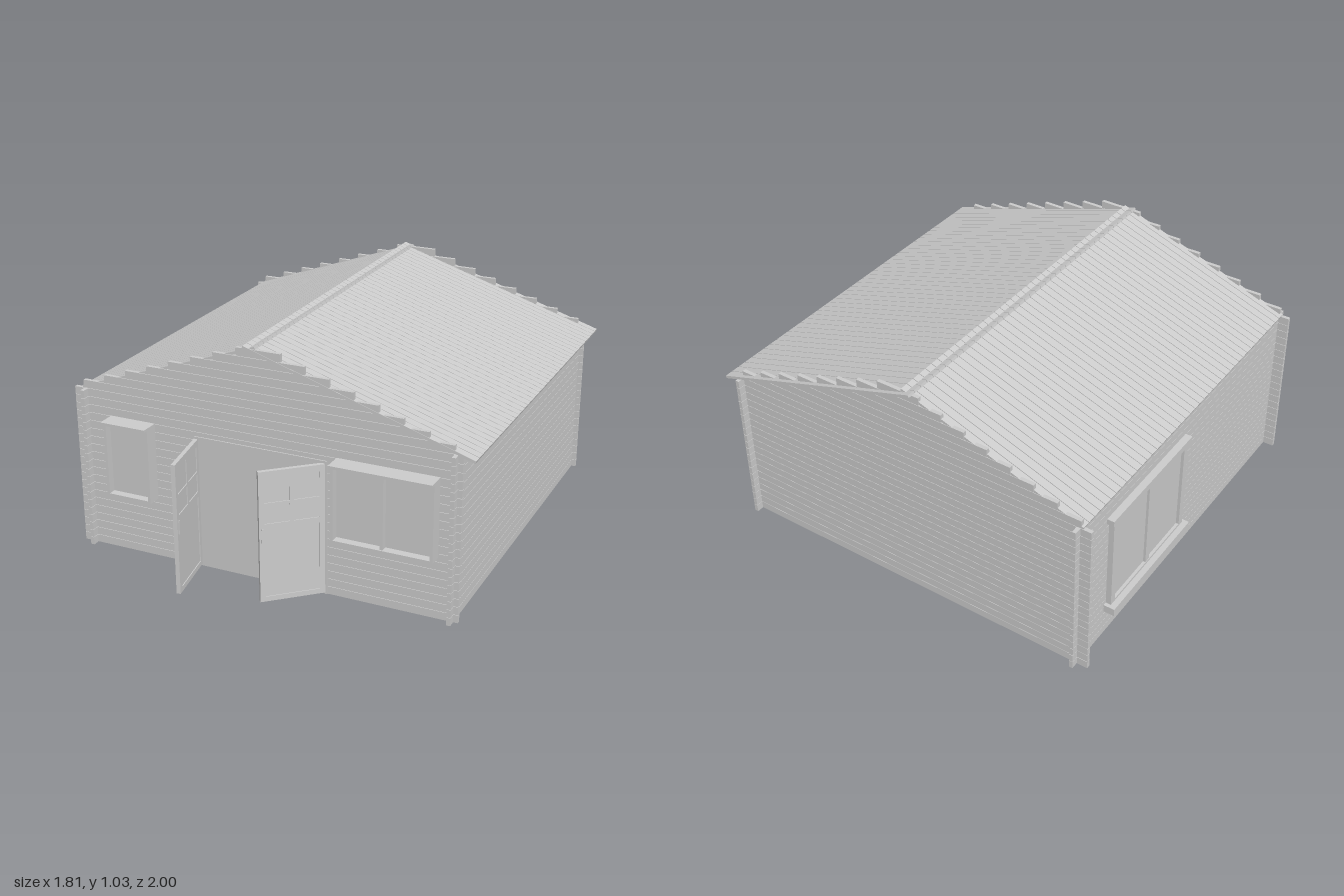
import * as THREE from 'three';

const grey = new THREE.MeshStandardMaterial({ color: 0xcccccc, flatShading: true });

const ROW = 0.0365, ROWS = 20, GAP = 0.002, THICK = 0.017;
const FRONT = 0.715, BACK = -0.957, LEFT = 0.827, RIGHT = -0.848;

// Box given by its limits on each axis
function box(parent, name, x0, x1, y0, y1, z0, z1) {
  const mesh = new THREE.Mesh(new THREE.BoxGeometry(x1 - x0, y1 - y0, z1 - z0), grey);
  mesh.position.set((x0 + x1) / 2, (y0 + y1) / 2, (z0 + z1) / 2);
  mesh.name = name;
  parent.add(mesh);
  return mesh;
}

function group(parent, name) {
  const g = new THREE.Group();
  g.name = name;
  parent.add(g);
  return g;
}

// Stacked logs of the end walls, with a stepped gable on top
function endWall(parent, name, z) {
  const wall = group(parent, name);
  const h = THICK / 2;
  for (let i = 0; i < ROWS; i++)
    box(wall, 'wallLog', -0.905, 0.855, i * ROW, (i + 1) * ROW - GAP, z - h, z + h);
  for (let i = 0; i < 8; i++) {
    const half = 0.84 - i * 0.1057, y = (ROWS + i) * ROW;
    box(wall, 'gableLog', -0.02 - half, -0.02 + half, y, y + ROW - GAP, z - h, z + h);
  }
}

// Stacked logs of the long walls, crossing the end walls at the corners
function sideWall(parent, name, x) {
  const wall = group(parent, name);
  for (let i = 0; i < ROWS; i++)
    box(wall, 'wallLog', x - THICK / 2, x + THICK / 2, i * ROW, (i + 1) * ROW - GAP, -0.998, 0.757);
}

// One roof slope: boards running from ridge to eave, side by side along z
function roofSlope(parent, name, xA, yA, xB, yB, z0, z1) {
  const roof = group(parent, name);
  const count = 43, pitch = (z1 - z0) / count, t = 0.012;
  const length = Math.hypot(xB - xA, yB - yA);
  const geometry = new THREE.BoxGeometry(length, t, pitch - 0.003);
  for (let i = 0; i < count; i++) {
    const board = new THREE.Mesh(geometry, grey);
    board.name = 'roofBoard';
    board.position.set((xA + xB) / 2, (yA + yB) / 2 - t / 2, z0 + (i + 0.5) * pitch);
    board.rotation.z = Math.atan2(yB - yA, xB - xA);
    roof.add(board);
  }
}

// Framed window in local space: x across, z outwards from the wall
function windowUnit(parent, name, w, y0, y1, depth, panes, border) {
  const g = group(parent, name), h = w / 2;
  box(g, 'pane', -h + border, h - border, y0 + border, y1 - border, 0, depth * 0.45);
  for (const s of [-1, 1])
    box(g, 'frameSide', s * (h - border / 2) - border / 2, s * (h - border / 2) + border / 2, y0, y1, 0, depth);
  box(g, 'frameTop', -h + border, h - border, y1 - border, y1, 0, depth);
  box(g, 'frameBottom', -h + border, h - border, y0, y0 + border, 0, depth);
  for (let i = 1; i < panes; i++) {
    const x = -h + (w * i) / panes;
    box(g, 'mullion', x - border / 2, x + border / 2, y0 + border, y1 - border, 0, depth * 0.9);
  }
  return g;
}

// Door leaf from its hinge (local origin) along +x
function doorLeaf(parent, name, hinge, tip) {
  const g = group(parent, name);
  const dx = tip[0] - hinge[0], dz = tip[1] - hinge[1], w = Math.hypot(dx, dz);
  const t = 0.009, b = 0.022, y0 = 0.01, y1 = 0.59;
  box(g, 'leafPanel', b, w - b, y0 + b, y1 - b, -0.005, 0.005);
  box(g, 'hingeStile', 0, b, y0, y1, -t, t);
  box(g, 'outerStile', w - b, w, y0, y1, -t, t);
  for (const [a, c] of [[y0, y0 + b], [0.335, 0.36], [0.44, 0.452], [y1 - 0.028, y1]])
    box(g, 'rail', b, w - b, a, c, -t, t);
  box(g, 'glazingBar', w / 2 - 0.008, w / 2 + 0.008, 0.36, y1 - b, -t, t);
  // Handle on both faces
  box(g, 'handle', w - 0.017, w - 0.009, 0.28, 0.34, -t - 0.005, t + 0.005);
  g.position.set(hinge[0], 0, hinge[1]);
  g.rotation.y = Math.atan2(-dz, dx);
}

export function createModel() {
  const cabin = new THREE.Group();
  cabin.name = 'logCabin';

  // Walls
  endWall(cabin, 'frontWall', FRONT);
  endWall(cabin, 'backWall', BACK);
  sideWall(cabin, 'leftWall', LEFT);
  sideWall(cabin, 'rightWall', RIGHT);

  // Roof slopes, overlapping at the ridge
  roofSlope(cabin, 'leftRoof', -0.088, 1.032, 0.905, 0.716, -0.985, 0.727);
  roofSlope(cabin, 'rightRoof', -0.036, 1.032, -0.868, 0.736, -0.965, 0.72);

  // Doorway panel, its frame and the two open leaves
  const doorway = group(cabin, 'doorway');
  box(doorway, 'doorwayPanel', -0.315, 0.275, 0, 0.59, 0.706, 0.7255);
  for (const x of [-0.325, 0.272])
    box(doorway, 'doorJamb', x, x + 0.012, 0, 0.598, 0.705, 0.729);
  box(doorway, 'doorHead', -0.325, 0.284, 0.588, 0.6, 0.705, 0.729);
  doorLeaf(doorway, 'rightDoorLeaf', [-0.316, 0.728], [-0.266, 0.997]);
  doorLeaf(doorway, 'leftDoorLeaf', [0.272, 0.728], [0.068, 0.912]);

  // Front windows under small projecting caps
  for (const [name, x0, x1, panes] of [['smallWindow', -0.73, -0.515, 1], ['wideWindow', 0.325, 0.765, 2]]) {
    const unit = windowUnit(cabin, name, x1 - x0, 0.275, 0.612, 0.065, panes, 0.012);
    box(unit, 'windowCap', -(x1 - x0) / 2, (x1 - x0) / 2, 0.612, 0.622, 0, 0.085);
    unit.position.set((x0 + x1) / 2, 0, FRONT + THICK / 2);
  }

  // Side window with sill and head board
  const side = windowUnit(cabin, 'sideWindow', 0.59, 0.14, 0.61, 0.024, 2, 0.03);
  box(side, 'windowSill', -0.312, 0.312, 0.125, 0.16, 0, 0.05);
  box(side, 'windowHead', -0.312, 0.312, 0.6, 0.625, 0, 0.032);
  side.position.set(RIGHT - THICK / 2, 0, -0.457);
  side.rotation.y = -Math.PI / 2;

  return cabin;
}
